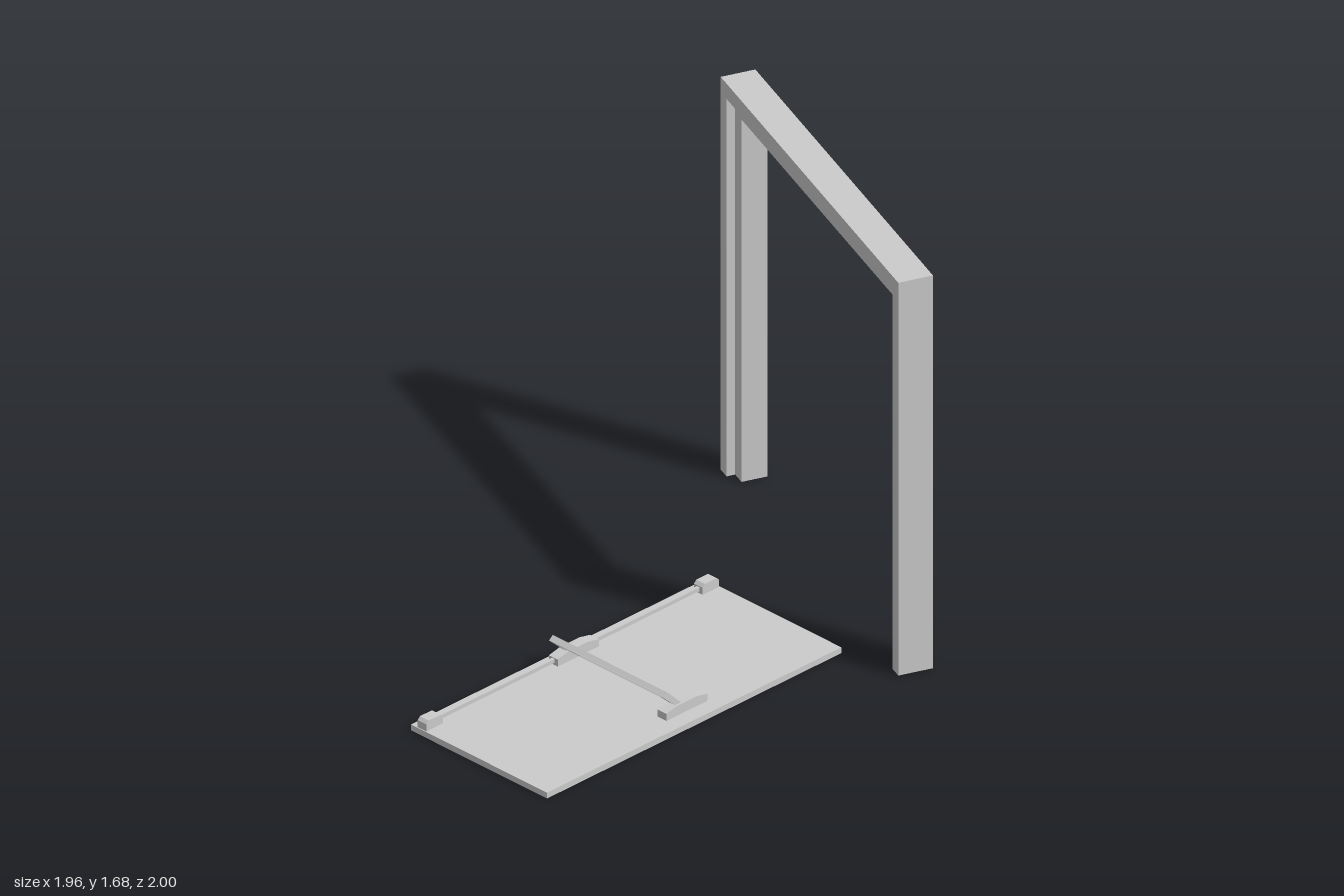
import * as THREE from 'three';

const material = new THREE.MeshStandardMaterial({ color: 0xcccccc, flatShading: true });

// Extrudes a side outline (x, y) along z, centred on z
function prism(name, points, depth, z = 0) {
  const shape = new THREE.Shape(points.map(([x, y]) => new THREE.Vector2(x, y)));
  const geometry = new THREE.ExtrudeGeometry(shape, { depth, bevelEnabled: false });
  geometry.translate(0, 0, z - depth / 2);
  const mesh = new THREE.Mesh(geometry, material);
  mesh.name = name;
  return mesh;
}

// Upside-down U outline extruded along x between x0 and x1
function portal(name, jamb, head, x0, x1) {
  const back = -0.67, front = 1.0, top = 1.68; // shape x is -z
  const outline = [[back, 0], [back + jamb, 0], [back + jamb, top - head], [front - jamb, top - head],
    [front - jamb, 0], [front, 0], [front, top], [back, top]];
  const mesh = prism(name, outline, x1 - x0);
  mesh.rotation.y = Math.PI / 2;
  mesh.position.x = (x0 + x1) / 2;
  return mesh;
}

// Small housing with sloping shoulders at its ends
function housing(name, u, v, length, shoulder, low) {
  const h = length / 2, y = 0.025, top = 0.067;
  return prism(name, [[u - h, y], [u + h, y], [u + h, low], [u + h - shoulder, top],
    [u - h + shoulder, top], [u - h, low]], 0.046, v);
}

export function createModel() {
  const model = new THREE.Group();

  // Door frame: full section plus a thinner rebated section on the door side
  const frame = new THREE.Group();
  frame.name = 'doorFrame';
  frame.add(portal('frameBody', 0.115, 0.13, 0.875, 0.98));
  frame.add(portal('frameRebate', 0.055, 0.065, 0.84, 0.875));
  model.add(frame);

  // Door lying on the ground, turned away from the frame
  const door = new THREE.Group();
  door.name = 'door';
  door.position.set(-0.135, 0, 0.382);
  door.rotation.y = 0.376;
  model.add(door);

  const panel = new THREE.Mesh(new THREE.BoxGeometry(1.538, 0.025, 0.716), material);
  panel.name = 'doorPanel';
  panel.position.y = 0.0125;
  door.add(panel);

  // Latch rod with a keeper at each end
  const railV = -0.304;
  const rod = new THREE.Mesh(new THREE.BoxGeometry(1.42, 0.016, 0.014), material);
  rod.name = 'latchRod';
  rod.position.set(0, 0.043, railV);
  door.add(rod);
  for (const side of [-1, 1]) {
    door.add(housing('rodKeeper', side * 0.722, railV, 0.086, 0.012, 0.055));
  }

  // Push bar: two housings, two sloping arms and the crossbar between them
  for (const v of [railV, 0.268]) {
    door.add(housing('barHousing', 0.029, v, 0.215, 0.055, 0.055));
    door.add(prism('barArm', [[-0.088, 0.125], [-0.012, 0.055], [0.02, 0.055], [-0.068, 0.141]], 0.028, v));
  }
  door.add(prism('pushBar', [[-0.088, 0.125], [-0.064, 0.104], [-0.044, 0.119], [-0.068, 0.141]],
    0.6, (railV + 0.268) / 2));

  return model;
}
